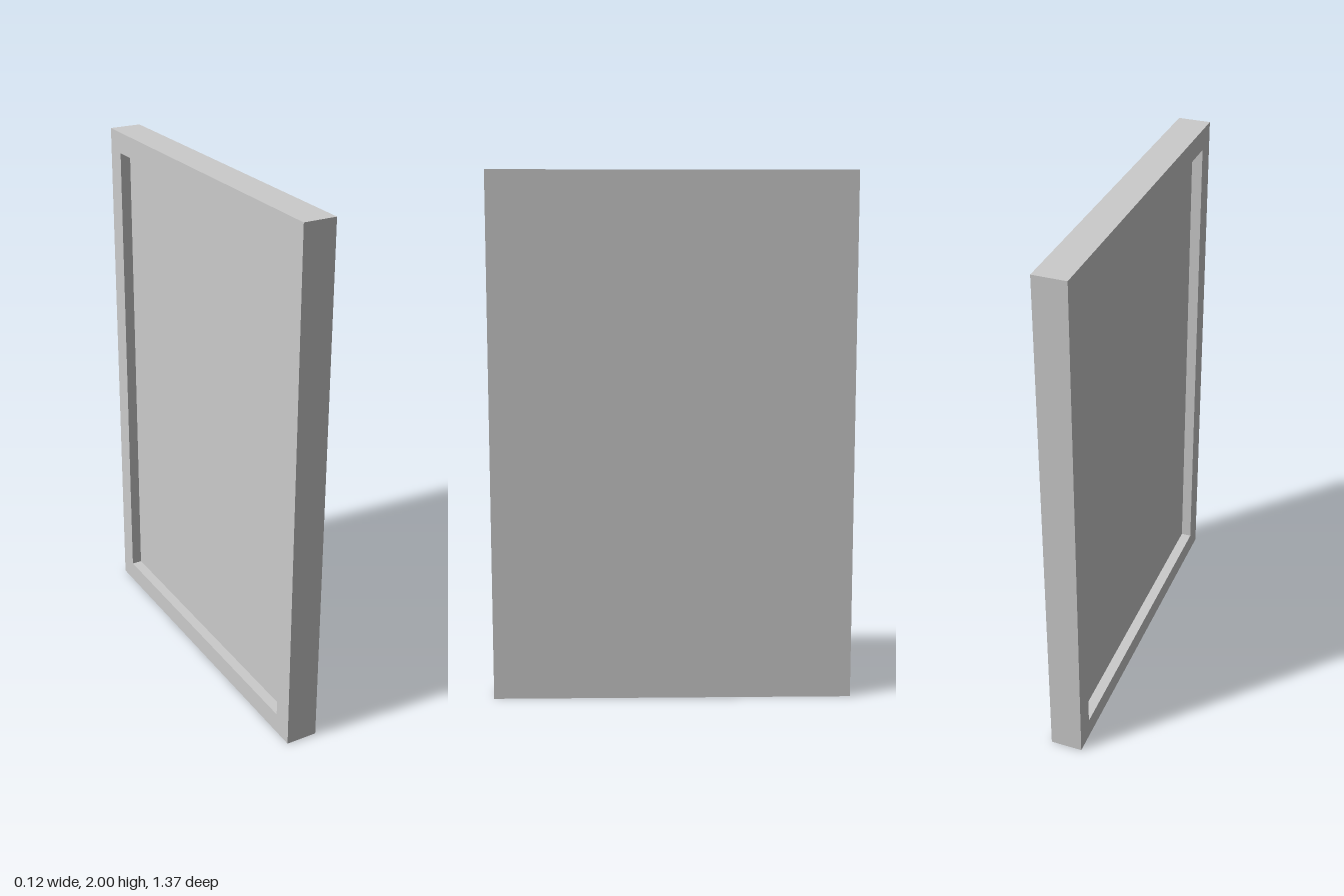
import * as THREE from 'three';

const HEIGHT = 2, DEPTH = 1.372, HALF_THICK = 0.061;
const BORDER = 0.08, RECESS = 0.04;

// One closed skin through rectangular loops [x, inset], capped at both ends
function rectLoft(loops) {
  const pos = [], idx = [];
  for (const [x, inset] of loops) {
    const z = DEPTH / 2 - inset, y0 = inset, y1 = HEIGHT - inset;
    pos.push(x, y0, z, x, y0, -z, x, y1, -z, x, y1, z);
  }
  for (let l = 0; l < loops.length - 1; l++) {
    for (let i = 0; i < 4; i++) {
      const j = (i + 1) % 4, a = l * 4, b = a + 4;
      idx.push(a + i, b + i, b + j, a + i, b + j, a + j);
    }
  }
  const e = (loops.length - 1) * 4;
  idx.push(0, 1, 2, 0, 2, 3, e, e + 2, e + 1, e, e + 3, e + 2);
  const indexed = new THREE.BufferGeometry();
  indexed.setAttribute('position', new THREE.Float32BufferAttribute(pos, 3));
  indexed.setIndex(idx);
  const geo = indexed.toNonIndexed();
  geo.computeVertexNormals();
  return geo;
}

export function createModel() {
  const group = new THREE.Group();
  group.name = 'framedPanel';
  const material = new THREE.MeshStandardMaterial({ color: 0xcccccc, flatShading: true });

  // Flat back on +x, raised border around a shallow recess on -x
  const panel = new THREE.Mesh(rectLoft([
    [HALF_THICK, 0],
    [-HALF_THICK, 0],
    [-HALF_THICK, BORDER],
    [-HALF_THICK + RECESS, BORDER],
  ]), material);
  panel.name = 'recessedPanel';
  group.add(panel);
  return group;
}
